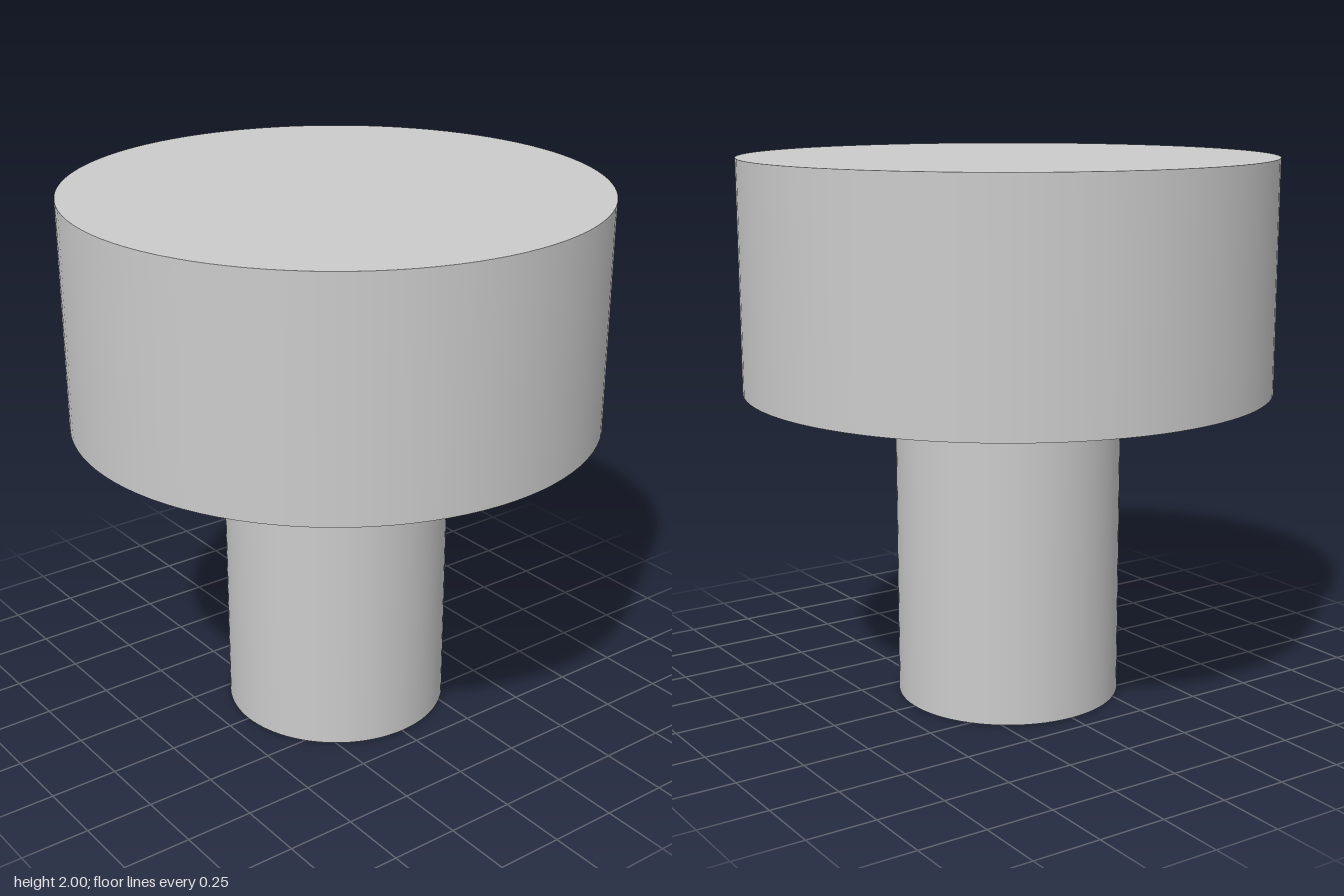
import * as THREE from 'three';

const SEGMENTS = 96;
const HEIGHT = 2;
const HEAD_BASE = 1.163;

export function createModel() {
  const group = new THREE.Group();
  const material = new THREE.MeshStandardMaterial({ color: 0xcccccc });

  // Solid round part spanning the heights bottom to top
  const addCylinder = (name, radius, bottom, top) => {
    const geometry = new THREE.CylinderGeometry(radius, radius, top - bottom, SEGMENTS);
    const mesh = new THREE.Mesh(geometry, material);
    mesh.name = name;
    mesh.position.y = (bottom + top) / 2;
    group.add(mesh);
  };

  // Narrow stem carrying a wide, flat-topped head
  addCylinder('stem', 0.415, 0, HEAD_BASE);
  addCylinder('head', 0.966, HEAD_BASE, HEIGHT);

  return group;
}
